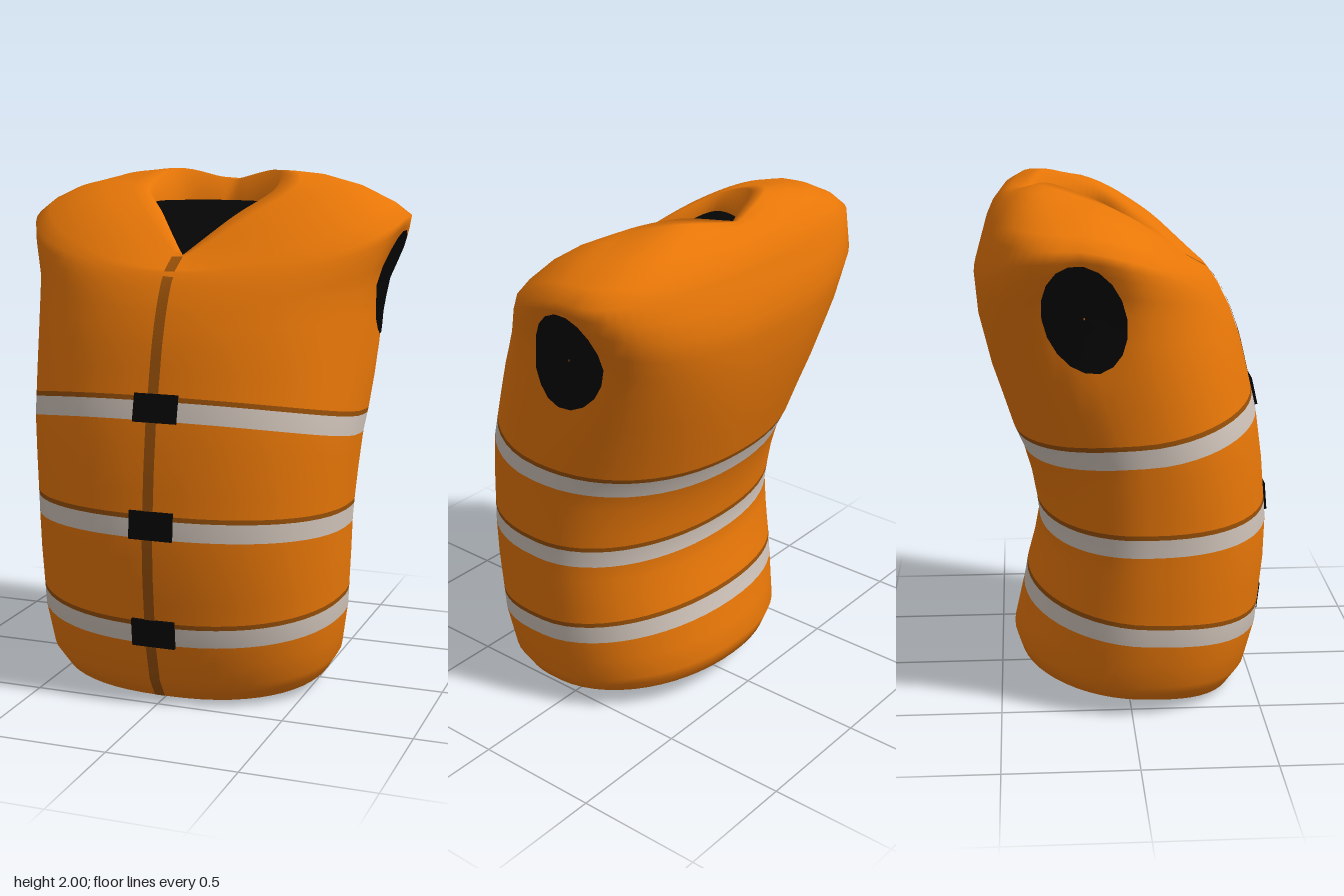
import * as THREE from 'three';

const mat = (name, color, side = THREE.FrontSide) => {
  const m = new THREE.MeshStandardMaterial({ color, side });
  m.name = name;
  return m;
};

// Torso rings: front y, side y, back y, front z, back z, half width, z of widest point
const RINGS = [
  [0.05, 0.10, 0.14, 0.29, -0.31, 0.43, 0.02],
  [0, 0.045, 0.10, 0.385, -0.37, 0.48, 0.03],
  [0.01, 0.06, 0.105, 0.435, -0.42, 0.545, 0.04],
  [0.09, 0.13, 0.18, 0.49, -0.445, 0.588, 0.05],
  [0.25, 0.305, 0.355, 0.532, -0.405, 0.615, 0.06],
  [0.50, 0.53, 0.55, 0.557, -0.36, 0.626, 0.06],
  [0.67, 0.665, 0.655, 0.562, -0.34, 0.631, 0.06],
  [0.92, 0.88, 0.85, 0.541, -0.37, 0.647, 0.05],
  [1.11, 1.02, 0.96, 0.515, -0.402, 0.66, 0.04],
  [1.38, 1.36, 1.30, 0.452, -0.52, 0.689, -0.06],
  [1.50, 1.60, 1.50, 0.41, -0.565, 0.712, -0.13],
  [1.58, 1.75, 1.66, 0.37, -0.578, 0.757, -0.18],
  [1.64, 1.83, 1.83, 0.33, -0.53, 0.772, -0.20],
];
const TAPED = [4, 6, 8]; // rings where a reflective band starts
const TAPE = 0.071, TRIM = 0.089; // heights of the tape and of the trim line above it
const SEG = 56;
const V = (x, y, z) => new THREE.Vector3(x, y, z);

// Half outlines of the neck opening, from front to back
const neckOuter = new THREE.CatmullRomCurve3([
  V(0, 1.695, 0.225), V(0.145, 1.835, 0.05), V(0.262, 1.935, -0.11), V(0.212, 1.997, -0.29), V(0, 1.95, -0.37)]);
const neckInner = new THREE.CatmullRomCurve3([
  V(0, 1.68, 0.197), V(0.135, 1.785, 0.035), V(0.247, 1.865, -0.10), V(0.19, 1.87, -0.27), V(0, 1.87, -0.343)]);

const eachAngle = (fn) => Array.from({ length: SEG }, (_, i) => fn((i / SEG) * Math.PI * 2));
const mixRings = (a, b, k) => a.map((v, i) => v + (b[i] - v) * k);

// A ring raised by a constant height all round, following the slope towards the next ring
const raiseRing = (a, b, h) => mixRings(a, b, h / (b[0] - a[0])).map((v, i) => (i < 3 ? a[i] + h : v));

// Rounded cross-section: the back is round at the waist and squarer at the shoulders
function torsoLoop([yf, ys, yb, zf, zb, w, zc]) {
  const rise = THREE.MathUtils.smoothstep(ys, 0.95, 1.8);
  return eachAngle((a) => {
    const s = Math.sin(a), c = Math.cos(a), front = c > 0;
    const e = front ? 0.85 + 0.12 * rise : 0.95 - 0.25 * rise, d = Math.abs(c);
    const p = V(
      w * Math.sign(s) * Math.abs(s) ** e,
      ys + ((front ? yf : yb) - ys) * d ** 1.3,
      zc + ((front ? zf : zb) - zc) * d ** e);
    // Soft hollow around each armhole
    const q = ((p.y - 1.58) / 0.2) ** 2 + ((p.z + 0.18) / 0.16) ** 2;
    p.x *= 1 - 0.045 * Math.exp(-q * q);
    return p;
  });
}

function neckLoop(curve) {
  return eachAngle((a) => {
    const u = a / Math.PI;
    const p = curve.getPoint(u <= 1 ? u : 2 - u);
    if (u > 1) p.x *= -1;
    return p;
  });
}

function meshFrom(name, points, index, material) {
  const g = new THREE.BufferGeometry().setFromPoints(points);
  g.setIndex(index);
  g.computeVertexNormals();
  const m = new THREE.Mesh(g, material);
  m.name = name;
  return m;
}

function gridIndex(rows, cols, closed) {
  const index = [];
  for (let r = 0; r < rows - 1; r++) {
    for (let i = 0; i < (closed ? cols : cols - 1); i++) {
      const j = (i + 1) % cols, a = r * cols, b = a + cols;
      index.push(a + i, a + j, b + j, a + i, b + j, b + i);
    }
  }
  return index;
}

// Fan that closes an opening
function cap(name, loop, material) {
  const centre = loop.reduce((s, p) => s.add(p), V(0, 0, 0)).divideScalar(loop.length);
  const index = loop.flatMap((_, i) => [loop.length, i, (i + 1) % loop.length]);
  return meshFrom(name, [...loop, centre], index, material);
}

export function createModel() {
  const model = new THREE.Group();
  model.name = 'lifeVest';
  const orange = mat('orange fabric', 0xee7a08);
  const silver = mat('reflective tape', 0xd0c4ba);
  const brown = mat('brown trim', 0x985008, THREE.DoubleSide);
  const black = mat('black', 0x050505, THREE.DoubleSide);

  // Torso: bands add a tape row and a trim row, every plain span is split in two
  const loops = [], colours = [];
  const addLoop = (ring, colour) => {
    loops.push(torsoLoop(ring));
    colours.push(colour);
  };
  RINGS.forEach((ring, r) => {
    const next = RINGS[r + 1];
    let start = ring;
    if (TAPED.includes(r)) {
      addLoop(ring, 1);
      addLoop(raiseRing(ring, next, TAPE), 2);
      start = raiseRing(ring, next, TRIM);
    }
    addLoop(start, 0);
    if (next) addLoop(mixRings(start, next, 0.5), 0);
  });

  // Shoulders: arch from the top ring to the neck, then roll inwards
  const top = loops[loops.length - 1], outer = neckLoop(neckOuter), inner = neckLoop(neckInner);
  for (const k of [0.12, 0.35, 0.6, 0.85]) {
    loops.push(top.map((p, i) => {
      const q = p.clone().lerp(outer[i], k);
      const c = Math.max(0, Math.cos((i / SEG) * Math.PI * 2));
      q.y += 0.06 * Math.sin(Math.PI * k ** 0.8) * (1 - c ** 4);
      q.y = Math.min(q.y, 2);
      return q;
    }));
  }
  loops.push(outer, inner);

  const body = meshFrom('vestBody', loops.flat(), gridIndex(loops.length, SEG, true), [orange, silver, brown]);
  for (let r = 0; r < loops.length - 1; r++) body.geometry.addGroup(r * SEG * 6, SEG * 6, colours[r] ?? 0);
  model.add(body);

  // Openings
  model.add(cap('neckOpening', inner, black));
  model.add(cap('waistOpening', [...loops[0]].reverse(), black));

  // Finds the body surface along a direction
  const ray = new THREE.Raycaster();
  const onBody = (from, dir, lift) => {
    ray.set(from, dir);
    return ray.intersectObject(body)[0]?.point.addScaledVector(dir, -lift);
  };

  // Armholes: thin dark ovals lying on the body
  const N = 18, radii = [0.02, 0.4, 0.75, 1];
  for (const side of [1, -1]) {
    const pts = [];
    for (const k of radii) {
      for (let i = 0; i < N; i++) {
        const a = -side * (i / N) * Math.PI * 2;
        const y = 1.58 + 0.2 * k * Math.sin(a), z = -0.18 - 0.15 * k * Math.cos(a) - 0.03 * k * Math.sin(a);
        pts.push(onBody(V(2 * side, y, z), V(-side, 0, 0), 0.007) ?? V(0.7 * side, y, z));
      }
    }
    model.add(meshFrom(side > 0 ? 'leftArmhole' : 'rightArmhole', pts, gridIndex(radii.length, N, true), black));
  }

  // Front seam
  const seam = [];
  for (let i = 0; i <= 40; i++) {
    const y = 0.012 + (i / 40) * 1.68;
    const row = [-0.034, 0.008].map((x) => onBody(V(x, y, 2), V(0, 0, -1), 0.005));
    if (row[0] && row[1]) seam.push(...row);
  }
  model.add(meshFrom('frontSeam', seam, gridIndex(seam.length / 2, 2, false), brown));

  // Buckles
  for (const y of [1.155, 0.72, 0.295]) {
    const [low, high] = [-0.05, 0.05].map((d) => onBody(V(0, y + d, 2), V(0, 0, -1), 0));
    const buckle = new THREE.Mesh(new THREE.BoxGeometry(0.172, 0.108, 0.02), black);
    buckle.name = 'buckle';
    buckle.position.set(0, y, (low.z + high.z) / 2);
    buckle.rotation.x = Math.atan2(high.z - low.z, 0.1);
    model.add(buckle);
  }
  return model;
}
